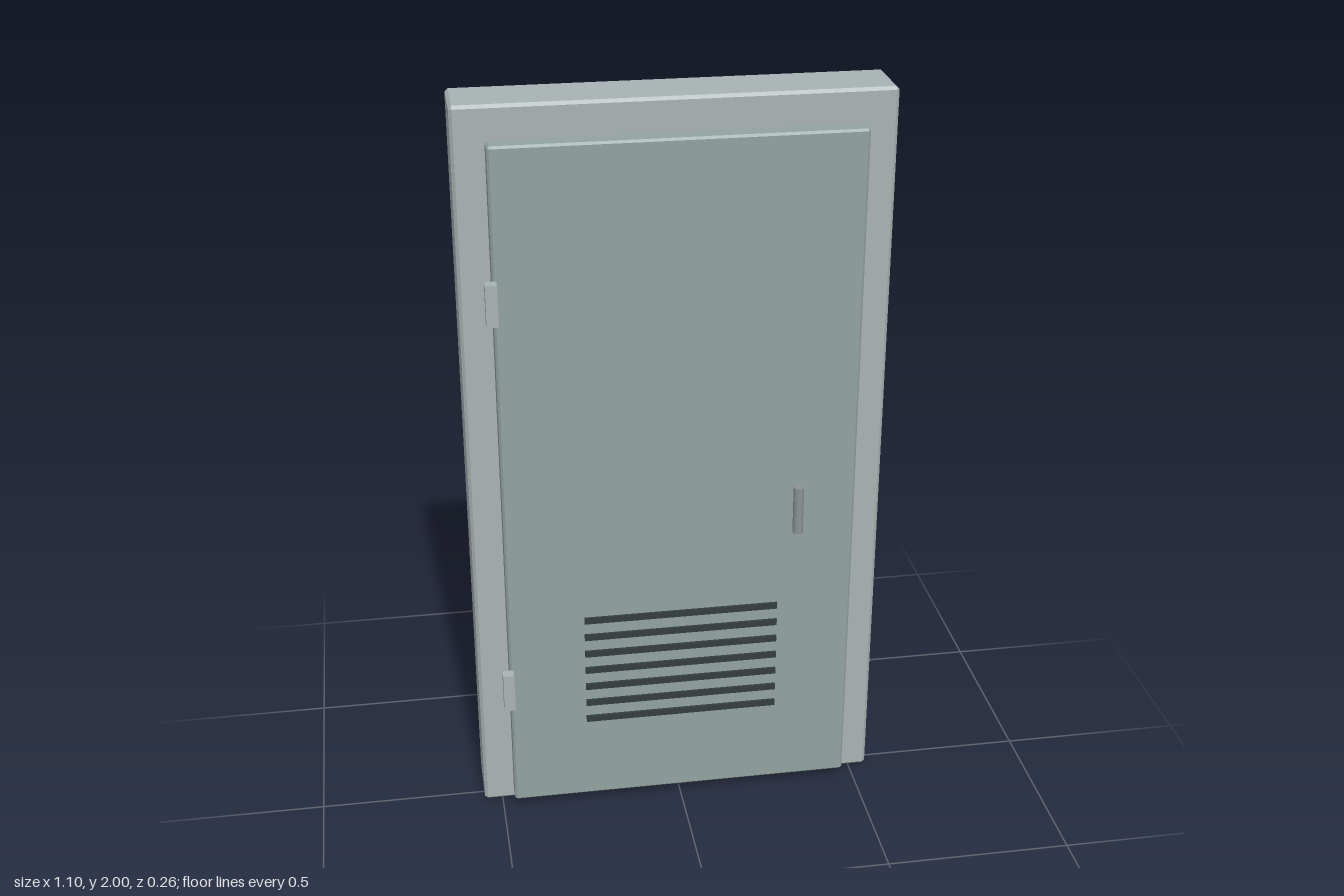
import * as THREE from 'three';
import { ConvexGeometry } from 'three/addons/geometries/ConvexGeometry.js';

const frameMat = new THREE.MeshStandardMaterial({ color: 0xa9b2b2 });
const doorMat = new THREE.MeshStandardMaterial({ color: 0x92a3a0 });
const slatMat = new THREE.MeshStandardMaterial({ color: 0x353d3f });
const handleMat = new THREE.MeshStandardMaterial({ color: 0x8b9393 });

// Box with every edge cut by a flat chamfer b
function chamferBox(w, h, d, b) {
  const points = [];
  for (const x of [-1, 1]) for (const y of [-1, 1]) for (const z of [-1, 1]) {
    for (let face = 0; face < 3; face++) {
      const inset = [b, b, b];
      inset[face] = 0;
      points.push(new THREE.Vector3(
        x * (w / 2 - inset[0]), y * (h / 2 - inset[1]), z * (d / 2 - inset[2])));
    }
  }
  return new ConvexGeometry(points);
}

export function createModel() {
  const model = new THREE.Group();
  const add = (name, geometry, material, x, y, z) => {
    const mesh = new THREE.Mesh(geometry, material);
    mesh.name = name;
    mesh.position.set(x, y, z);
    model.add(mesh);
  };

  // Frame slab and the door panel standing proud of it
  add('frame', chamferBox(1.1, 2, 0.17, 0.008), frameMat, 0, 1, -0.045);
  add('doorPanel', chamferBox(0.936, 1.886, 0.07, 0.006), doorMat, 0, 0.97, 0.057);

  // Hinges on the door's right edge
  for (const [name, y] of [['lowerHinge', 0.4], ['upperHinge', 1.52]]) {
    add(name, new THREE.BoxGeometry(0.03, 0.11, 0.029), frameMat, -0.473, y, 0.107);
  }

  // Upright bar handle
  add('handle', new THREE.CylinderGeometry(0.014, 0.014, 0.134, 16), handleMat, 0.31, 0.893, 0.116);

  // Ventilation slats
  for (let i = 0; i < 7; i++) {
    add(`ventSlat${i + 1}`, new THREE.BoxGeometry(0.526, 0.018, 0.007), slatMat,
      0, 0.283 + i * 0.052, 0.1);
  }
  return model;
}
